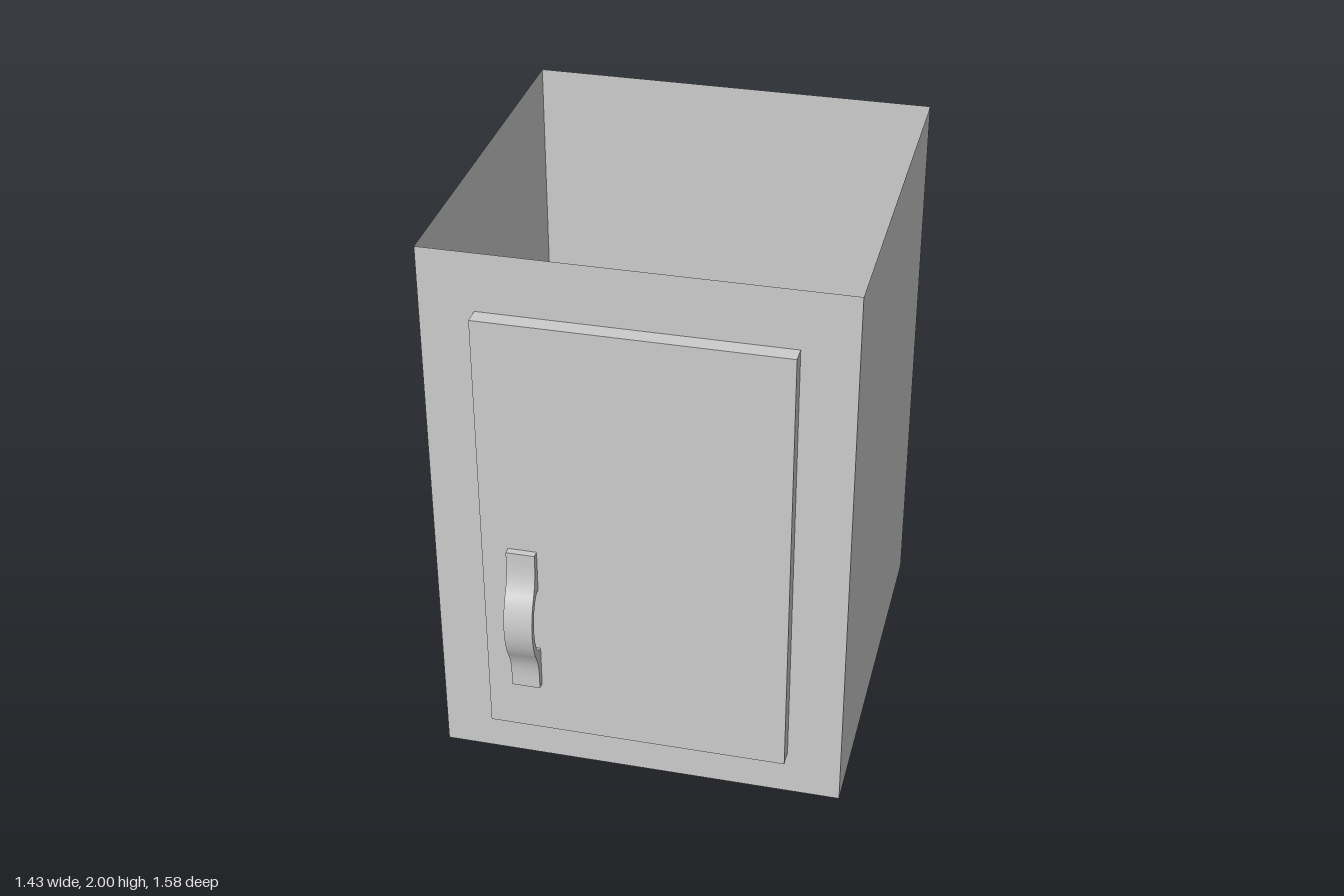
import * as THREE from 'three';
import { toCreasedNormals } from 'three/addons/utils/BufferGeometryUtils.js';

const W = 1.43, H = 2, D = 1.43, CZ = -0.075;

export function createModel() {
  const model = new THREE.Group();
  model.name = 'cabinet';
  const solid = new THREE.MeshStandardMaterial({ color: 0xcccccc });
  const thin = new THREE.MeshStandardMaterial({ color: 0xcccccc, side: THREE.DoubleSide });

  // Open-topped carcass of thin panels
  const carcass = new THREE.Group();
  carcass.name = 'carcass';
  const panel = (name, w, h, x, y, z, rx, ry) => {
    const mesh = new THREE.Mesh(new THREE.PlaneGeometry(w, h), thin);
    mesh.name = name;
    mesh.position.set(x, y, z);
    mesh.rotation.set(rx, ry, 0);
    carcass.add(mesh);
  };
  panel('frontPanel', W, H, 0, H / 2, CZ + D / 2, 0, 0);
  panel('backPanel', W, H, 0, H / 2, CZ - D / 2, 0, Math.PI);
  panel('leftPanel', D, H, W / 2, H / 2, CZ, 0, Math.PI / 2);
  panel('rightPanel', D, H, -W / 2, H / 2, CZ, 0, -Math.PI / 2);
  panel('bottomPanel', W, D, 0, 0, CZ, Math.PI / 2, 0);
  model.add(carcass);

  // Door slab, passing through the front panel
  const door = new THREE.Mesh(new THREE.BoxGeometry(1.055, 1.62, 0.155), solid);
  door.name = 'door';
  door.position.set(0, 0.98, 0.6225);
  model.add(door);

  // Arched handle: side profile (z across, y up from its middle), extruded along x
  const profile = new THREE.Shape();
  profile.moveTo(0.7, -0.28);
  profile.lineTo(0.726, -0.28);
  profile.lineTo(0.726, -0.235);
  profile.bezierCurveTo(0.728, -0.19, 0.735, -0.165, 0.75, -0.135);
  profile.bezierCurveTo(0.8, -0.055, 0.8, 0.055, 0.75, 0.135);
  profile.bezierCurveTo(0.735, 0.165, 0.728, 0.19, 0.726, 0.235);
  profile.lineTo(0.726, 0.28);
  profile.lineTo(0.7, 0.28);
  profile.lineTo(0.7, 0.125);
  profile.absellipse(0.7, 0, 0.064, 0.125, Math.PI / 2, -Math.PI / 2, true);
  profile.closePath();
  const handleGeo = new THREE.ExtrudeGeometry(profile, { depth: 0.1, bevelEnabled: false, curveSegments: 16 });
  handleGeo.rotateY(-Math.PI / 2);
  const handle = new THREE.Mesh(toCreasedNormals(handleGeo, 0.6), solid);
  handle.name = 'handle';
  handle.position.set(-0.335, 0.645, 0);
  model.add(handle);

  return model;
}
